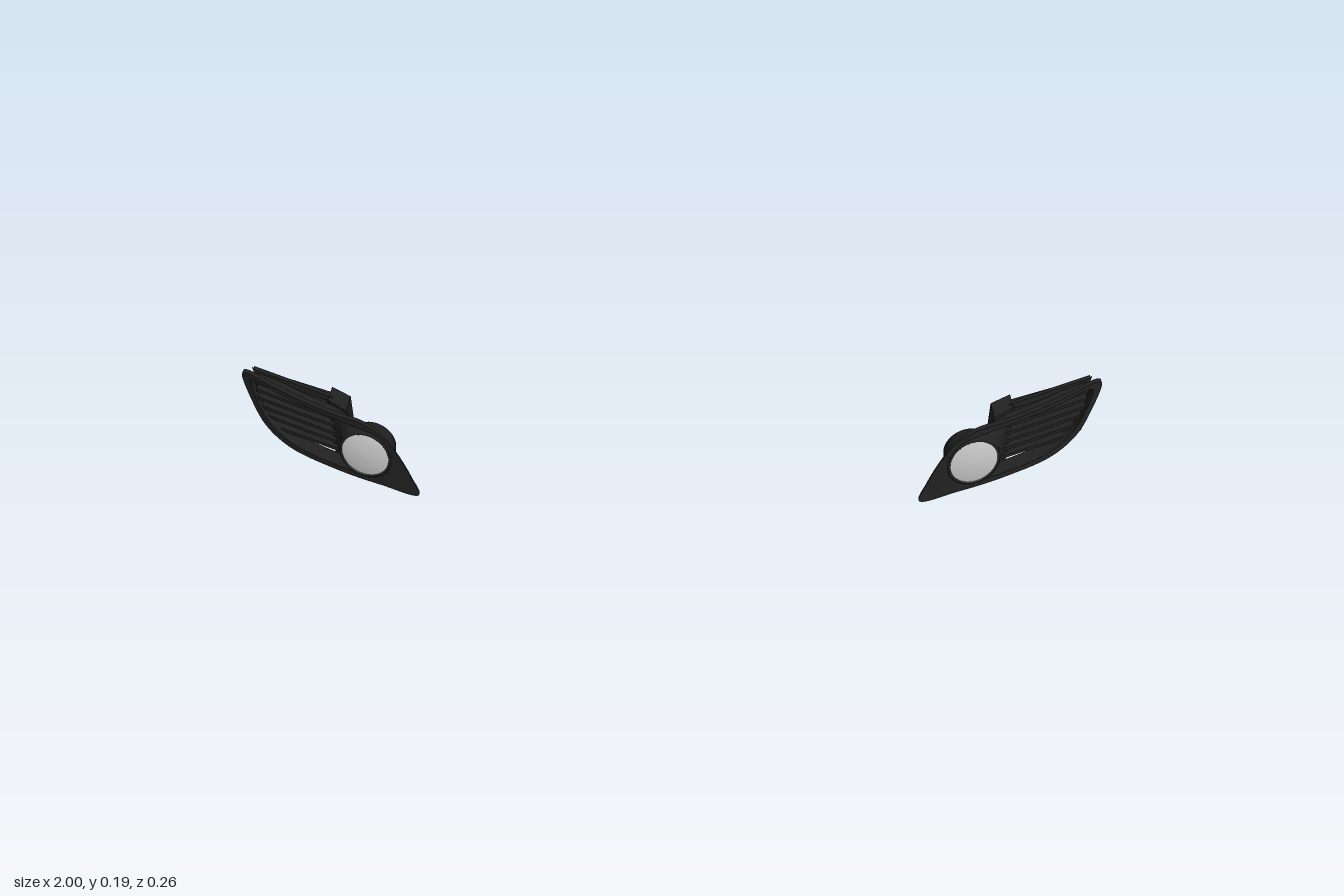
import * as THREE from 'three';

const dark = new THREE.MeshStandardMaterial({ color: 0x222222, side: THREE.DoubleSide });
const grey = new THREE.MeshStandardMaterial({ color: 0xcccccc, side: THREE.DoubleSide });

// Swept-back front face of the bezel: z for a given x
const faceZ = (x) => 0.13 - 0.33 * (x - 0.57) - 0.45 * (x - 0.57) ** 2;
const lerp = THREE.MathUtils.lerp;

function part(name, geometry, material = dark) {
  const mesh = new THREE.Mesh(geometry, material);
  mesh.name = name;
  return mesh;
}

// Skin between rows of points (all rows the same length)
function loft(rows) {
  const n = rows[0].length, pos = [], idx = [];
  rows.forEach((row) => row.forEach((p) => pos.push(p.x, p.y, p.z)));
  for (let r = 0; r < rows.length - 1; r++) {
    for (let i = 0; i < n - 1; i++) {
      const a = r * n + i, b = a + n;
      idx.push(a, b, a + 1, a + 1, b, b + 1);
    }
  }
  const g = new THREE.BufferGeometry();
  g.setAttribute('position', new THREE.Float32BufferAttribute(pos, 3));
  g.setIndex(idx);
  g.computeVertexNormals();
  return g;
}

// Closed smooth loop through (x, y) points, laid on the swept face
function loop(points, depth) {
  const curve = new THREE.CatmullRomCurve3(
    points.map(([x, y]) => new THREE.Vector3(x, y, 0)), true, 'centripetal');
  return Array.from({ length: 113 }, (_, i) => {
    const p = curve.getPoint((i % 112) / 112);
    p.z = faceZ(p.x) - depth(p.x);
    return p;
  });
}

// Plan outline (x, z) given a height, standing at y
function slab(plan, y, height) {
  const shape = new THREE.Shape(plan.map(([x, z]) => new THREE.Vector2(x, -z)));
  const g = new THREE.ExtrudeGeometry(shape, { depth: height, bevelEnabled: false });
  return g.rotateX(-Math.PI / 2).translate(0, y, 0);
}

// Tilt each slab so it rises slightly towards the outer end
function rise(geometry, slope) {
  const p = geometry.attributes.position;
  for (let i = 0; i < p.count; i++) p.setY(i, p.getY(i) + slope * (p.getX(i) - 0.78));
  geometry.computeVertexNormals();
  return geometry;
}

function bezelFrame() {
  const outer = [[0.57, 0.001], [0.583, 0.045], [0.612, 0.105], [0.643, 0.145], [0.685, 0.165],
    [0.78, 0.17], [0.9, 0.18], [0.985, 0.187], [1.0, 0.178], [0.985, 0.11], [0.955, 0.052],
    [0.9, 0.019], [0.78, 0.007], [0.66, 0.003]];
  const inner = [[0.643, 0.045], [0.63, 0.075], [0.633, 0.11], [0.652, 0.137], [0.69, 0.149],
    [0.78, 0.158], [0.9, 0.168], [0.965, 0.175], [0.978, 0.168], [0.967, 0.11], [0.94, 0.064],
    [0.89, 0.034], [0.78, 0.021], [0.685, 0.024]];
  const group = new THREE.Group();
  group.name = 'bezelFrame';
  const wall = (x) => lerp(0.012, 0.045, THREE.MathUtils.smoothstep(x, 0.66, 0.78));
  const thin = (x) => lerp(0.005, 0.014, THREE.MathUtils.smoothstep(x, 0.6, 0.7));
  const face = (x) => 0;
  group.add(
    part('frameFace', loft([loop(outer, face), loop(inner, face)])),
    part('frameEdge', loft([loop(outer, thin), loop(outer, face)])),
    part('frameBack', loft([loop(inner, thin), loop(outer, thin)])),
    part('openingWall', loft([loop(inner, face), loop(inner, wall)])));
  return group;
}

function lamp() {
  const group = new THREE.Group();
  group.name = 'lamp';
  group.position.set(0.69, 0.086, 0.092);
  group.rotation.y = 0.22;
  const lathe = (name, pts, material) => {
    const g = new THREE.LatheGeometry(pts.map(([r, z]) => new THREE.Vector2(r, z)), 40);
    group.add(part(name, g.rotateX(Math.PI / 2), material));
  };
  // Shallow domed lens
  lathe('lens', [[0.057, 0], [0.045, 0.003], [0.03, 0.005], [0.015, 0.0065], [0, 0.007]], grey);
  // Rim and rearward cup, open at the back
  lathe('lampHousing', [[0.056, 0], [0.059, 0.003], [0.063, 0], [0.062, -0.02], [0.058, -0.04],
    [0.053, -0.056], [0.048, -0.056], [0.052, -0.04], [0.056, 0]]);
  const socket = new THREE.CylinderGeometry(0.014, 0.02, 0.04, 20).rotateX(-Math.PI / 2);
  group.add(part('bulbSocket', socket.translate(0, -0.01, -0.025)));
  const arm = part('socketArm', new THREE.BoxGeometry(0.1, 0.012, 0.006));
  arm.position.set(0, -0.02, -0.04);
  group.add(arm);
  return group;
}

// Curved wall running from the lamp rim back to the louvres
function sweepWall() {
  const rows = [];
  for (let r = 0; r <= 8; r++) {
    const t = r / 8, row = [];
    for (let i = 0; i <= 24; i++) {
      const s = i / 24, a = lerp(-1.65, 1.65, s);
      const rim = new THREE.Vector3(0.69 + 0.06 * Math.cos(a), 0.086 + 0.062 * Math.sin(a),
        0.092 - 0.0135 * Math.cos(a));
      const end = new THREE.Vector3(0.79, lerp(0.018, 0.162, s), -0.02);
      const p = rim.lerp(end, t);
      p.x -= 0.012 * Math.sin(Math.PI * t);
      row.push(p);
    }
    rows.push(row);
  }
  return part('sweepWall', loft(rows));
}

function grille() {
  const group = new THREE.Group();
  group.name = 'grille';
  // Closed panel behind the blades
  const panel = [[0.775, -0.02], [0.785, -0.035], [0.975, -0.118], [0.975, -0.105]];
  const panelGeo = slab(panel, 0.014, 0.154);
  const p = panelGeo.attributes.position;
  for (let i = 0; i < p.count; i++) {
    const t = (p.getX(i) - 0.775) / 0.2;
    p.setY(i, p.getY(i) < 0.09 ? lerp(0.012, 0.035, t) : lerp(0.166, 0.184, t));
  }
  panelGeo.computeVertexNormals();
  group.add(part('backPanel', panelGeo));
  // Wedge blades at the front
  for (let i = 0; i < 6; i++) {
    const out = i === 0 ? 0.945 : 0.97;
    const blade = [[0.772, 0.006], [0.785, -0.03], [out, -0.115], [out, faceZ(out) - 0.012],
      [0.87, -0.038]];
    group.add(part('louvreBlade', rise(slab(blade, 0.031 + i * 0.0225, 0.008), 0.07)));
  }
  // Thin fins at the back
  for (let i = 0; i < 9; i++) {
    const fin = [[0.785, -0.03], [0.785, -0.055], [0.985, -0.131], [0.975, -0.108]];
    group.add(part('rearFin', rise(slab(fin, 0.022 + i * 0.0165, 0.002), 0.08)));
  }
  // Upright block joining grille and lamp
  const block = [[0.735, 0.03], [0.735, -0.028], [0.785, -0.065], [0.785, -0.012]];
  group.add(part('mountingBlock', slab(block, 0.016, 0.148)));
  return group;
}

function lampUnit(name) {
  const unit = new THREE.Group();
  unit.name = name;
  unit.add(bezelFrame(), lamp(), sweepWall(), grille());
  return unit;
}

export function createModel() {
  const model = new THREE.Group();
  model.name = 'lampBezels';
  const right = lampUnit('rightUnit');
  right.scale.x = -1;
  model.add(lampUnit('leftUnit'), right);
  return model;
}
